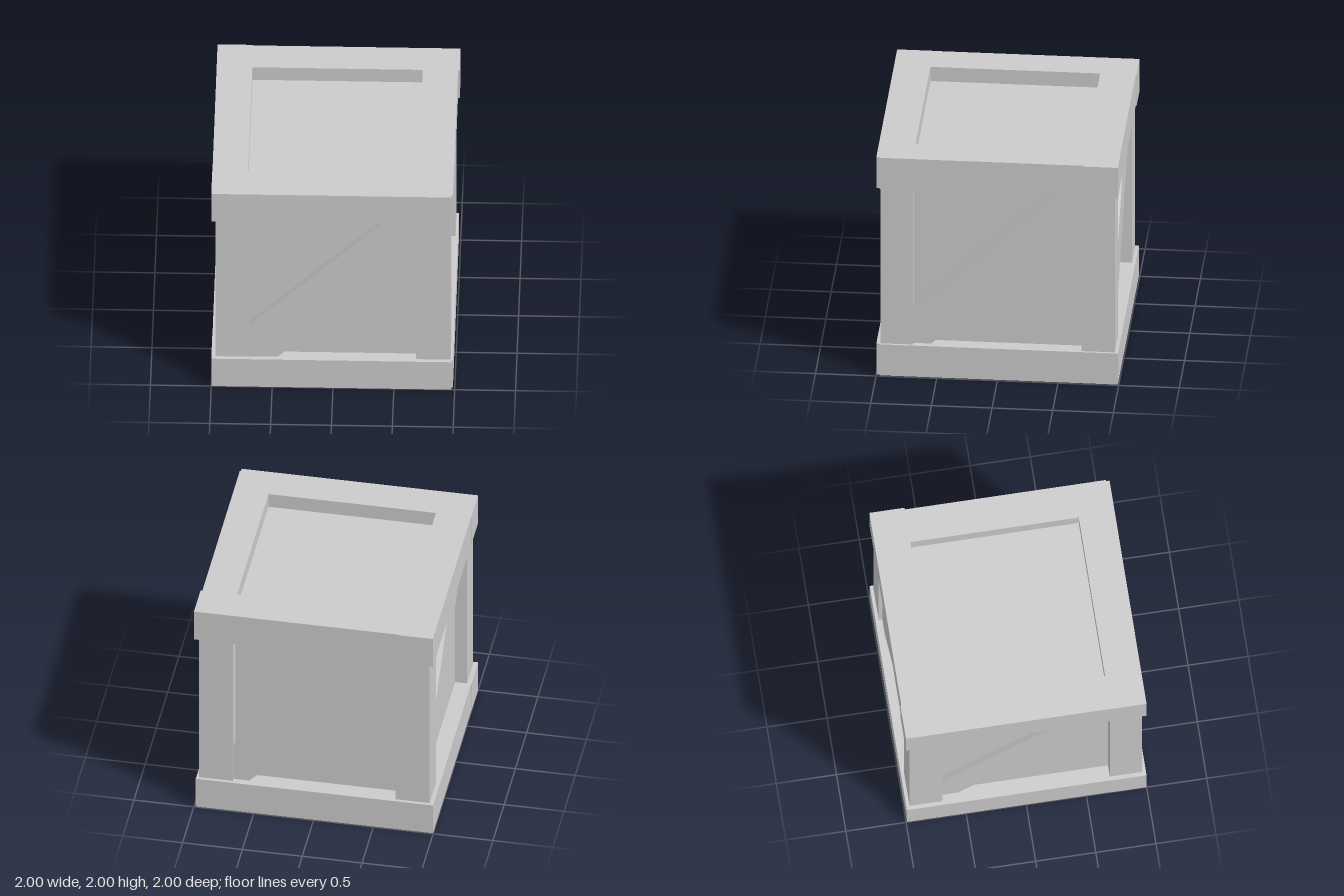
import * as THREE from 'three';

const material = new THREE.MeshStandardMaterial({ color: 0xcccccc, flatShading: true });

// Box given by its limits on each axis
function block(name, [x0, x1], [y0, y1], [z0, z1]) {
  const mesh = new THREE.Mesh(new THREE.BoxGeometry(x1 - x0, y1 - y0, z1 - z0), material);
  mesh.position.set((x0 + x1) / 2, (y0 + y1) / 2, (z0 + z1) / 2);
  mesh.name = name;
  return mesh;
}

// Diagonal board cut to fit between posts and rails, turned onto one side
function brace(name, outline, inner, outer, angle) {
  const shape = new THREE.Shape(outline.map(([x, y]) => new THREE.Vector2(x, y)));
  const geometry = new THREE.ExtrudeGeometry(shape, { depth: outer - inner, bevelEnabled: false });
  geometry.translate(0, 0, inner);
  geometry.rotateY(angle);
  const mesh = new THREE.Mesh(geometry, material);
  mesh.name = name;
  return mesh;
}

export function createModel() {
  const crate = new THREE.Group();
  crate.name = 'crate';

  // Inner box whose faces are the recessed panels
  crate.add(block('panels', [-0.865, 0.865], [0.15, 1.87], [-0.85, 0.89]));

  // Corner posts
  for (const [side, x] of [['left', [0.68, 0.965]], ['right', [-0.965, -0.68]]]) {
    crate.add(block(side + 'FrontPost', x, [0.2, 1.8], [0.7, 0.965]));
    crate.add(block(side + 'BackPost', x, [0.2, 1.8], [-0.965, -0.69]));
  }

  // Top frame: four rails lapped in a pinwheel
  const top = new THREE.Group();
  top.name = 'topFrame';
  const topY = [1.715, 2];
  top.add(
    block('frontRail', [-1, 0.975], topY, [0.7, 1]),
    block('leftRail', [0.695, 0.985], topY, [-0.7, 0.97]),
    block('backRail', [-0.71, 1], topY, [-0.993, -0.7]),
    block('rightRail', [-0.998, -0.705], topY, [-1, 0.7])
  );

  // Bottom frame: rails butted at the corners
  const bottom = new THREE.Group();
  bottom.name = 'bottomFrame';
  const bottomY = [0, 0.285];
  bottom.add(
    block('frontRail', [-1, 0.975], bottomY, [0.7, 1]),
    block('leftRail', [0.695, 0.985], bottomY, [-0.993, 0.97]),
    block('backRail', [-0.71, 0.695], bottomY, [-0.993, -0.7]),
    block('rightRail', [-0.998, -0.705], bottomY, [-0.993, 0.7])
  );
  crate.add(top, bottom);

  // Diagonal braces, rising to the right on every side
  const frontOutline = [[-0.69, 0.28], [-0.46, 0.28], [0.69, 1.41], [0.69, 1.72], [0.44, 1.72], [-0.69, 0.605]];
  const sideOutline = [[-0.71, 0.28], [-0.555, 0.28], [0.7, 1.47], [0.7, 1.665], [0.65, 1.72], [0.465, 1.72], [-0.71, 0.59]];
  crate.add(
    brace('frontBrace', frontOutline, 0.87, 0.96, 0),
    brace('leftBrace', sideOutline, 0.85, 0.935, Math.PI / 2),
    brace('backBrace', sideOutline, 0.83, 0.935, Math.PI),
    brace('rightBrace', sideOutline, 0.85, 0.91, -Math.PI / 2)
  );
  return crate;
}
